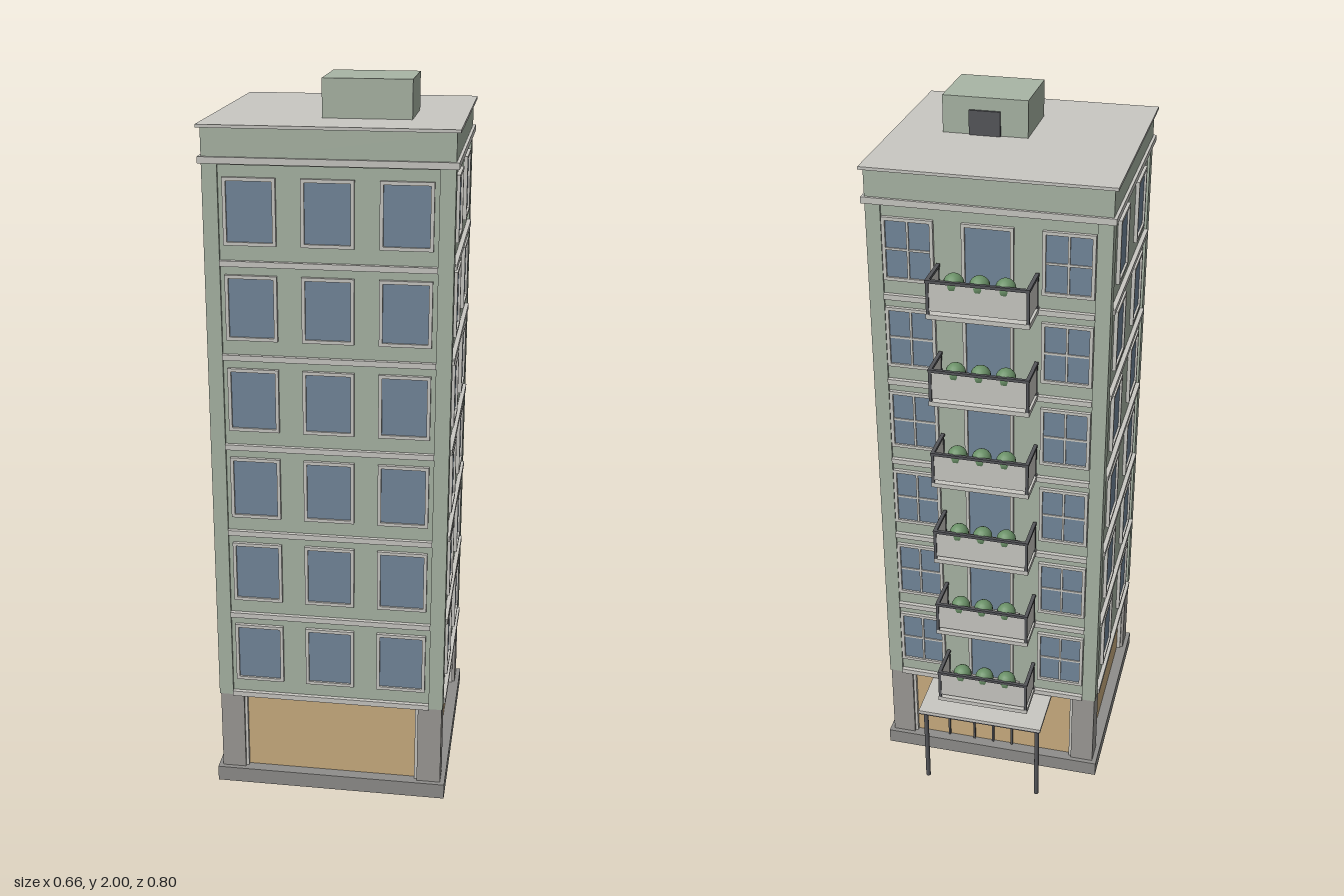
import * as THREE from 'three';

const paint = (name, color) => {
  const m = new THREE.MeshStandardMaterial({ color });
  m.name = name;
  return m;
};
const MAT = {
  wall: paint('sage wall', 0xa9b5a5),
  trim: paint('pale stone', 0xc9c8c3),
  glass: paint('blue glass', 0x73879b),
  shop: paint('tan shopfront', 0xcbae80),
  pillar: paint('grey stone', 0x9c9a96),
  plinth: paint('plinth grey', 0x8f8e8b),
  metal: paint('dark metal', 0x55565a),
  leaf: paint('leaf green', 0x6b9168),
};

// Box given by its extents on each axis
function box(parent, name, mat, x0, x1, y0, y1, z0, z1) {
  const mesh = new THREE.Mesh(new THREE.BoxGeometry(x1 - x0, y1 - y0, z1 - z0), mat);
  mesh.position.set((x0 + x1) / 2, (y0 + y1) / 2, (z0 + z1) / 2);
  mesh.name = name;
  parent.add(mesh);
  return mesh;
}

function group(parent, name, x = 0, y = 0, z = 0, turn = 0) {
  const g = new THREE.Group();
  g.name = name;
  g.position.set(x, y, z);
  g.rotation.y = turn;
  parent.add(g);
  return g;
}

const FLOORS = 6, BASE = 0.29, STEP = 0.2515, CZ = 0.07;
const WALL = 0.313; // half width of the wall planes

// Framed opening on a facade whose local wall plane is z = 0
function addWindow(parent, x, y0, y1, cross) {
  const w = group(parent, 'window', x, 0, 0);
  const h = 0.068, f = 0.009, d = 0.01;
  box(w, 'glass', MAT.glass, -h + f, h - f, y0 + f, y1 - f, -0.002, 0.004);
  for (const s of [-1, 1]) {
    const c = s * (h - f / 2);
    box(w, 'frameSide', MAT.trim, c - f / 2, c + f / 2, y0, y1, -0.002, d);
  }
  box(w, 'sill', MAT.trim, -h + f, h - f, y0, y0 + f, -0.002, d);
  box(w, 'lintel', MAT.trim, -h + f, h - f, y1 - f, y1, -0.002, d);
  if (cross) {
    const ym = (y0 + y1) / 2;
    box(w, 'mullion', MAT.trim, -0.003, 0.003, y0 + f, y1 - f, 0, 0.008);
    box(w, 'transom', MAT.trim, -h + f, h - f, ym - 0.003, ym + 0.003, 0, 0.007);
  }
}

// One side of the tower: windows, floor bands and shopfront trim
function addFacade(root, name, turn, columns, isBack) {
  const f = group(root, name, Math.sin(turn) * WALL, 0, CZ + Math.cos(turn) * WALL, turn);
  for (let i = 0; i < FLOORS; i++) {
    const y = BASE + i * STEP;
    box(f, 'floorBand', MAT.trim, -0.28, 0.28, y - 0.007, y + 0.008, -0.005, 0.012);
    for (const x of columns) {
      const door = isBack && x === 0;
      addWindow(f, x, y + (door ? 0.014 : 0.048), y + 0.222, isBack && !door);
    }
  }
  for (const s of [-1, 1]) {
    const c = s * 0.246;
    box(f, 'shopJamb', MAT.trim, c - 0.004, c + 0.004, 0.045, 0.283, -0.02, -0.004);
  }
  if (isBack) {
    for (const x of [-0.14, -0.06, 0, 0.06, 0.14])
      box(f, 'entranceMullion', MAT.metal, x - 0.003, x + 0.003, 0.045, 0.283, -0.02, -0.008);
  }
}

// Balcony with solid panels, dark rails, a planter and three shrubs
function addBalcony(root, y) {
  const b = group(root, 'balcony', 0, y, 0);
  box(b, 'balconySlab', MAT.trim, -0.135, 0.135, 0, 0.013, -0.357, -0.243);
  box(b, 'frontPanel', MAT.trim, -0.127, 0.127, 0.022, 0.1, -0.354, -0.349);
  box(b, 'frontRail', MAT.metal, -0.135, 0.135, 0.1, 0.108, -0.359, -0.35);
  for (const s of [-1, 1]) {
    const c = s * 0.13;
    box(b, 'sidePanel', MAT.trim, c - 0.0025, c + 0.0025, 0.022, 0.1, -0.35, -0.258);
    box(b, 'sideRail', MAT.metal, c - 0.005, c + 0.005, 0.1, 0.108, -0.35, -0.25);
    for (const z of [-0.354, -0.256])
      box(b, 'railPost', MAT.metal, c - 0.004, c + 0.004, 0.013, 0.1, z - 0.003, z + 0.003);
  }
  box(b, 'planter', MAT.pillar, -0.103, 0.103, 0.04, 0.085, -0.345, -0.315);
  for (const x of [-0.067, 0, 0.067]) {
    const shrub = new THREE.Mesh(new THREE.SphereGeometry(0.027, 14, 10), MAT.leaf);
    shrub.position.set(x, 0.094, -0.33);
    shrub.name = 'shrub';
    b.add(shrub);
  }
}

export function createModel() {
  const root = new THREE.Group();
  root.name = 'apartmentTower';

  // Ground floor
  box(root, 'plinth', MAT.plinth, -0.33, 0.33, 0, 0.045, -0.26, 0.4);
  box(root, 'shopfront', MAT.shop, -0.298, 0.298, 0.045, 0.285, CZ - 0.298, CZ + 0.298);

  // Upper walls, cornice, parapet and roof
  box(root, 'walls', MAT.wall, -WALL, WALL, 0.285, 1.8, CZ - WALL, CZ + WALL);
  box(root, 'cornice', MAT.trim, -0.328, 0.328, 1.803, 1.82, CZ - 0.328, CZ + 0.328);
  box(root, 'parapet', MAT.wall, -0.32, 0.32, 1.8, 1.892, CZ - 0.32, CZ + 0.32);
  box(root, 'roofCap', MAT.trim, -0.33, 0.33, 1.892, 1.9, CZ - 0.33, CZ + 0.33);

  // Corner pillars and the pilasters above them
  for (const sx of [-1, 1]) for (const sz of [-1, 1]) {
    const px = sx * 0.2835, pz = CZ + sz * 0.2835;
    box(root, 'cornerPillar', MAT.pillar, px - 0.0335, px + 0.0335, 0.045, 0.285, pz - 0.0335, pz + 0.0335);
    const qx = sx * 0.3, qz = CZ + sz * 0.3;
    box(root, 'cornerPilaster', MAT.wall, qx - 0.02, qx + 0.02, 0.285, 1.8, qz - 0.02, qz + 0.02);
  }

  // Four sides
  addFacade(root, 'frontFacade', 0, [-0.2, 0, 0.2], false);
  addFacade(root, 'backFacade', Math.PI, [-0.21, 0, 0.21], true);
  addFacade(root, 'leftFacade', Math.PI / 2, [-0.143, 0.143], false);
  addFacade(root, 'rightFacade', -Math.PI / 2, [-0.143, 0.143], false);

  // Balconies up the back
  for (let i = 0; i < FLOORS; i++) addBalcony(root, BASE + i * STEP);

  // Entrance canopy on two posts
  box(root, 'canopyTop', MAT.trim, -0.185, 0.185, 0.266, 0.275, -0.4, -0.24);
  box(root, 'canopySoffit', MAT.metal, -0.183, 0.183, 0.26, 0.266, -0.398, -0.24);
  for (const x of [-0.17, 0.17]) {
    const post = new THREE.Mesh(new THREE.CylinderGeometry(0.007, 0.007, 0.26, 12), MAT.metal);
    post.position.set(x, 0.13, -0.375);
    post.name = 'canopyPost';
    root.add(post);
  }

  // Rooftop stair house
  box(root, 'stairHouse', MAT.wall, -0.036, 0.196, 1.9, 2, 0.05, 0.246);
  box(root, 'stairHouseDoor', MAT.metal, 0.038, 0.123, 1.9, 1.966, 0.043, 0.051);

  return root;
}
